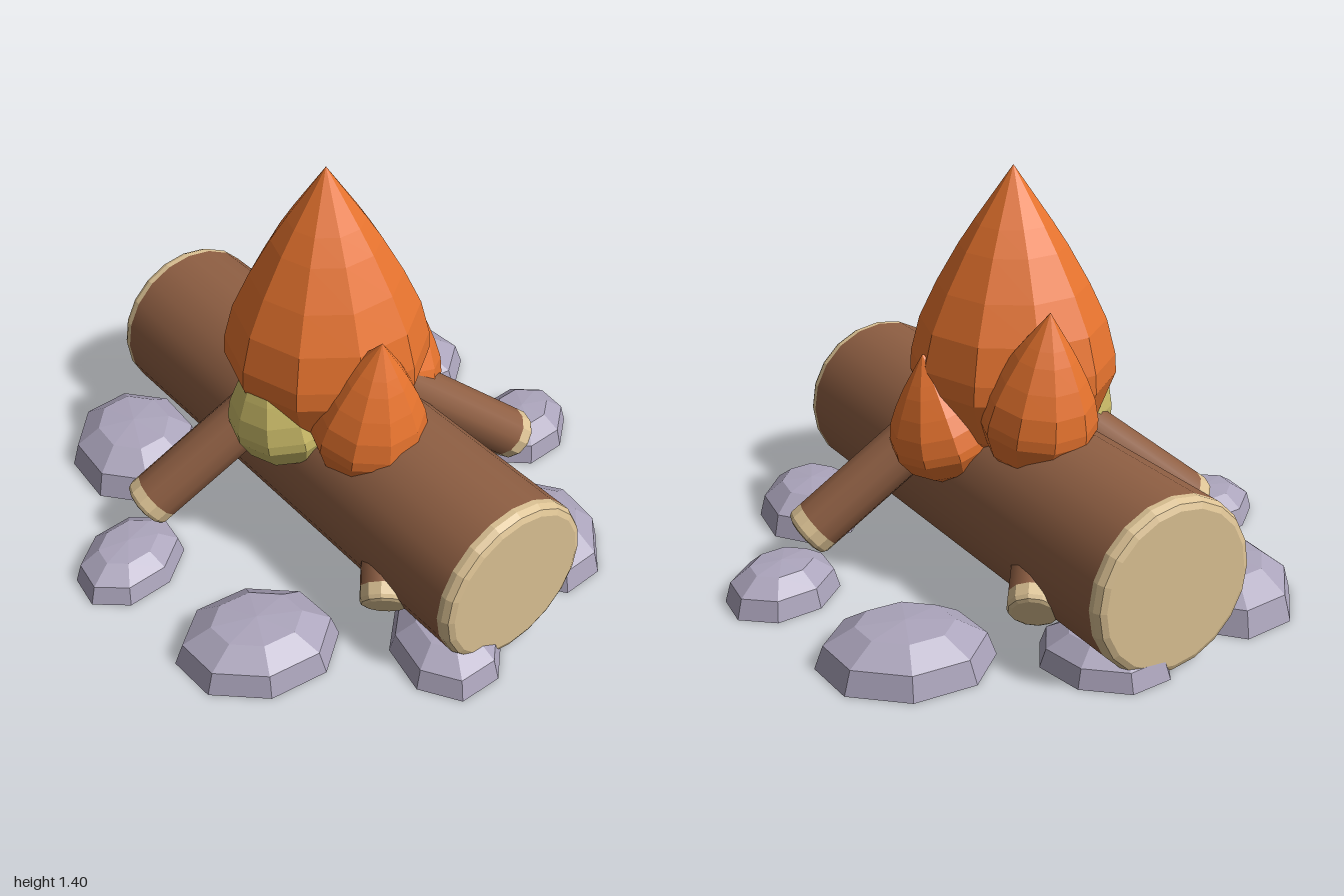
import * as THREE from 'three';

const mat = (name, color) => {
  const m = new THREE.MeshStandardMaterial({ color });
  m.name = name;
  return m;
};
const V = (p) => new THREE.Vector3(...p);

// Gives every face its own flat normal
function faceted(geometry) {
  const g = geometry.toNonIndexed();
  g.computeVertexNormals();
  return g;
}
const lathe = (points, sides) =>
  new THREE.LatheGeometry(points.map(([r, y]) => new THREE.Vector2(r, y)), sides);

export function createModel() {
  const bark = mat('bark brown', 0x8f5f43);
  const cut = mat('cut wood tan', 0xdbc193);
  const orange = mat('flame orange', 0xe6732e);
  const yellow = mat('flame yellow', 0xccbd69);
  const stone = mat('stone grey', 0xaba4bb);
  const model = new THREE.Group();
  model.name = 'campfire';

  const add = (parent, name, geometry, material) => {
    const m = new THREE.Mesh(geometry, material);
    m.name = name;
    parent.add(m);
    return m;
  };

  // Log between two end points: bark tube with rounded cut ends
  function addLog(name, from, to, r, cap, sides) {
    const a = V(from), b = V(to);
    const length = a.distanceTo(b), half = length / 2;
    const g = new THREE.Group();
    g.name = name;
    g.position.copy(a).add(b).multiplyScalar(0.5);
    g.quaternion.setFromUnitVectors(new THREE.Vector3(0, 1, 0), b.clone().sub(a).normalize());
    add(g, 'bark', new THREE.CylinderGeometry(r, r, length - 2 * cap, sides, 1, true), bark);
    const bevel = Math.min(cap, r * 0.35) * 0.6;
    const capShape = faceted(lathe([
      [r, half - cap], [r, half - bevel], [r - bevel * 0.35, half - bevel * 0.3],
      [r - bevel, half], [0, half],
    ], sides));
    add(g, 'cutEnd', capShape, cut);
    add(g, 'cutEnd', capShape, cut).rotation.x = Math.PI;
    model.add(g);
  }
  addLog('mainLog', [-0.97, 0.295, 0.003], [0.92, 0.295, 0.003], 0.293, 0.05, 20);
  addLog('frontStick', [-0.1, 0.57, 0.12], [-0.285, 0.13, 0.645], 0.093, 0.06, 12);
  addLog('backStick', [0.09, 0.57, -0.12], [0.245, 0.13, -0.645], 0.093, 0.06, 12);
  addLog('leftStick', [0.28, 0.4, 0], [0.625, 0.145, 0.295], 0.088, 0.06, 12);
  addLog('rightStick', [-0.28, 0.4, 0], [-0.64, 0.145, -0.295], 0.088, 0.06, 12);

  // Flames: one teardrop, scaled and leaning away from the middle
  const teardrop = faceted(lathe([
    [0, -1.1], [0.45, -0.88], [0.83, -0.48], [1, -0.04], [0.99, 0.15], [0.9, 0.5],
    [0.73, 0.86], [0.52, 1.23], [0.37, 1.46], [0, 1.99],
  ], 10));
  const flames = [
    // name, material, centre, radius, height scale, lean x, lean z
    ['mainFlame', orange, [-0.025, 0.7, 0.03], 0.35, 0.352, 0, 0],
    ['rightFlame', orange, [-0.305, 0.62, -0.055], 0.195, 0.198, 0, 0.16],
    ['leftFlame', orange, [0.26, 0.555, 0.08], 0.2, 0.196, 0, -0.17],
    ['backFlame', orange, [0, 0.5, -0.22], 0.195, 0.16, -0.28, 0],
    ['frontFlame', yellow, [-0.012, 0.51, 0.215], 0.2, 0.185, 0.15, 0],
  ];
  for (const [name, material, p, r, h, rx, rz] of flames) {
    const f = add(model, name, teardrop, material);
    f.position.set(...p);
    f.scale.set(r, h, r);
    f.rotation.set(rx, 0, rz);
  }

  // Ring of low faceted stones with flat undersides
  const stoneShape = faceted(lathe([[0, 0], [1, 0], [0.9, 0.53], [0.55, 0.92], [0, 1]], 8));
  const stones = [
    // x, z, long radius, short radius, height, turn
    [-0.46, -0.65, 0.285, 0.235, 0.15, 1.15],
    [0.13, -0.79, 0.215, 0.17, 0.13, -1.2],
    [0.625, -0.435, 0.26, 0.195, 0.145, -0.45],
    [0.77, 0.155, 0.25, 0.19, 0.13, -0.5],
    [0.405, 0.655, 0.275, 0.22, 0.15, 1.15],
    [-0.18, 0.78, 0.22, 0.165, 0.12, -1.2],
    [-0.675, 0.445, 0.29, 0.24, 0.165, -0.4],
    [-0.79, -0.13, 0.225, 0.185, 0.12, 0.5],
  ];
  for (const [x, z, a, b, h, turn] of stones) {
    const s = add(model, 'stone', stoneShape, stone);
    s.position.set(x, 0, z);
    s.scale.set(a, h, b);
    s.rotation.y = turn;
  }
  return model;
}
